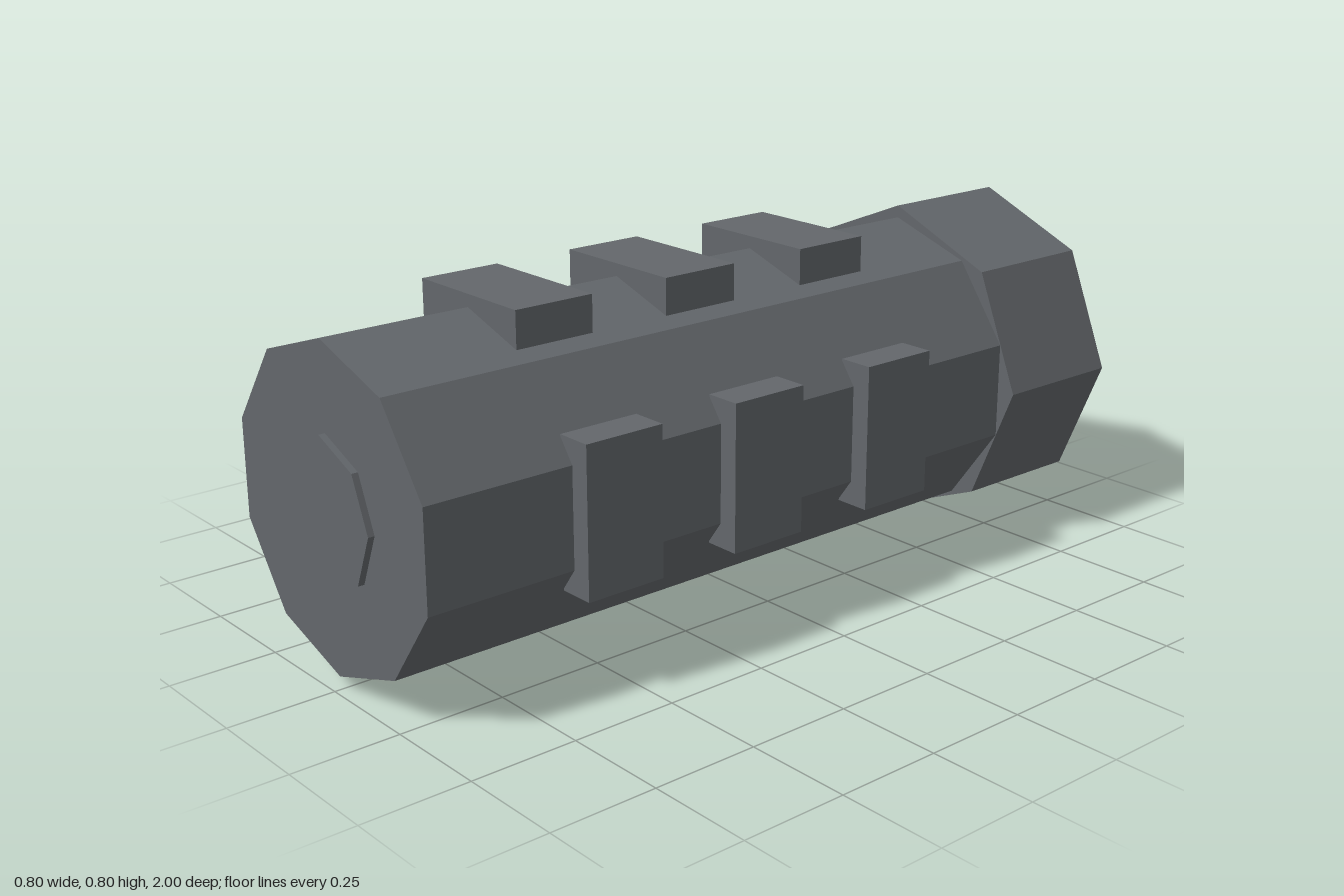
import * as THREE from 'three';

const AXIS_Y = 0.398;

export function createModel() {
  const group = new THREE.Group();
  const darkMetal = new THREE.MeshStandardMaterial({ color: 0x63676b, flatShading: true });
  darkMetal.name = 'dark grey metal';

  const add = (name, geometry, x, y, z) => {
    const mesh = new THREE.Mesh(geometry, darkMetal);
    mesh.name = name;
    mesh.position.set(x, y, z);
    group.add(mesh);
  };

  // Prism lying along z, with one corner pointing straight up
  const prism = (name, radius, sides, z0, z1) => {
    const geometry = new THREE.CylinderGeometry(radius, radius, z1 - z0, sides);
    geometry.rotateX(-Math.PI / 2);
    add(name, geometry, 0, AXIS_Y, (z0 + z1) / 2);
  };

  prism('body', 0.368, 10, -0.67, 0.985);
  prism('rearCollar', 0.398, 8, -1, -0.66);
  prism('frontDisc', 0.17, 8, 0.97, 1);

  // Three rows of raised blocks: top, left and right
  const length = 0.196, width = 0.34, depth = 0.085, offset = 0.3545;
  for (const z of [-0.26, 0.137, 0.533]) {
    add('topRib', new THREE.BoxGeometry(width, depth, length), 0, AXIS_Y + offset, z);
    for (const side of [-1, 1]) {
      add(side > 0 ? 'leftRib' : 'rightRib',
        new THREE.BoxGeometry(depth, width, length), side * offset, AXIS_Y, z);
    }
  }

  return group;
}
